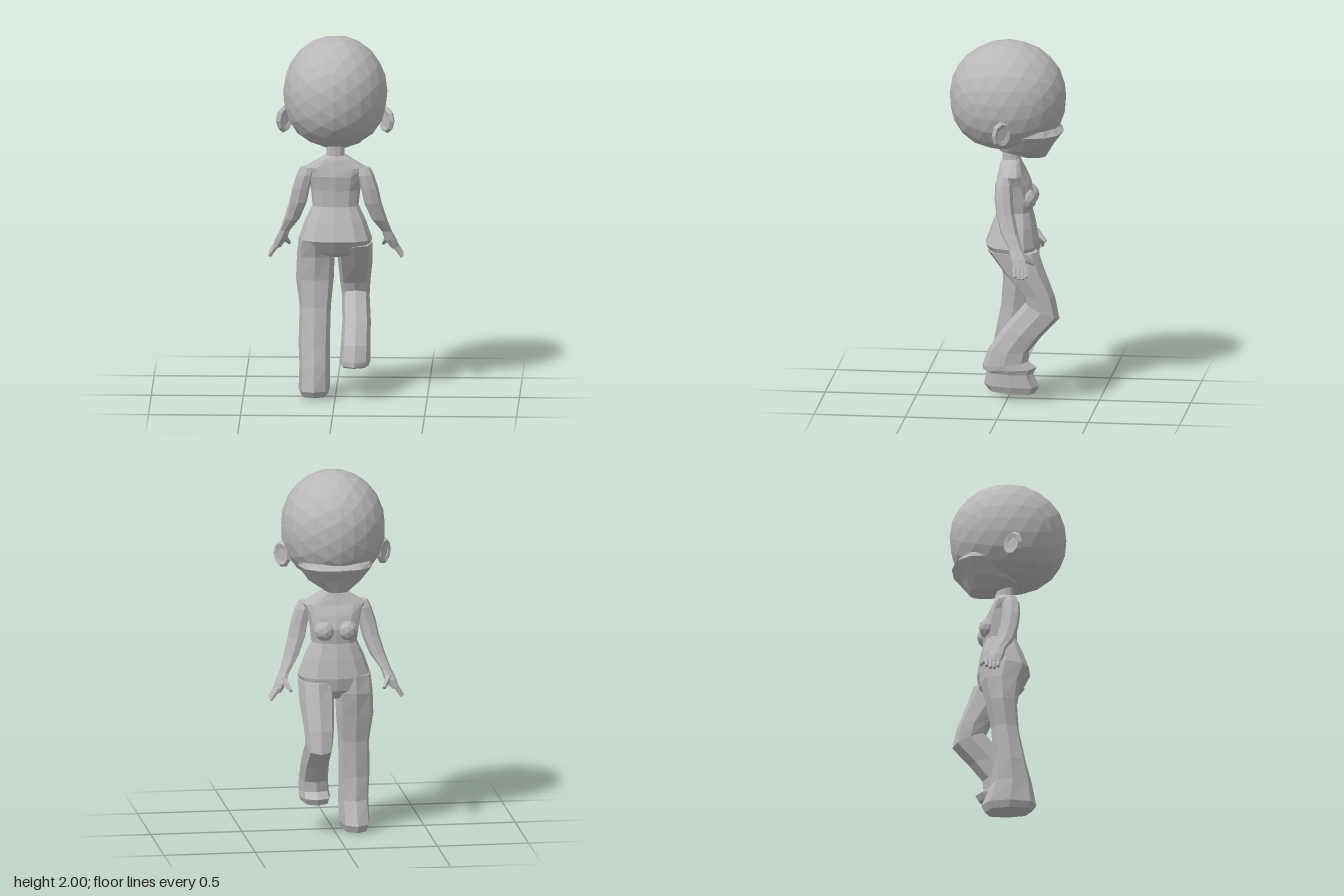
import * as THREE from 'three';

const grey = new THREE.MeshStandardMaterial({ color: 0xb8b8b8, flatShading: true });
grey.name = 'plain grey';

function part(name, geometry, parent) {
  const mesh = new THREE.Mesh(geometry, grey);
  mesh.name = name;
  parent.add(mesh);
  return mesh;
}

// Closed loft, bottom ring first. Ring: [xMin, xMax, zFront, yFront, zBack, yBack]
function loft(rings, sides = 8) {
  const pos = [], idx = [];
  const shape = (v) => Math.sign(v) * Math.pow(Math.abs(v), 0.8);
  for (const [x0, x1, zf, yf, zb, yb] of rings) {
    for (let i = 0; i < sides; i++) {
      const a = (i / sides) * Math.PI * 2;
      const c = shape(Math.cos(a)), s = shape(Math.sin(a));
      pos.push((x0 + x1) / 2 + (c * (x1 - x0)) / 2,
        (yf + yb) / 2 + (s * (yb - yf)) / 2,
        (zf + zb) / 2 + (s * (zb - zf)) / 2);
    }
  }
  for (let r = 0; r < rings.length - 1; r++) {
    for (let i = 0; i < sides; i++) {
      const j = (i + 1) % sides, a = r * sides, b = a + sides;
      idx.push(a + i, b + i, a + j, a + j, b + i, b + j);
    }
  }
  const top = (rings.length - 1) * sides;
  for (let i = 1; i < sides - 1; i++) {
    idx.push(0, i, i + 1, top, top + i + 1, top + i);
  }
  const g = new THREE.BufferGeometry();
  g.setAttribute('position', new THREE.Float32BufferAttribute(pos, 3));
  g.setIndex(idx);
  g.computeVertexNormals();
  return g;
}

// Tapered rod between two points, for fingers
function rod(a, b, r0, r1) {
  const p = new THREE.Vector3(...a), q = new THREE.Vector3(...b);
  const d = q.clone().sub(p);
  const g = new THREE.CylinderGeometry(r1, r0, d.length(), 5);
  g.applyQuaternion(new THREE.Quaternion().setFromUnitVectors(
    new THREE.Vector3(0, 1, 0), d.clone().normalize()));
  g.translate(...p.add(q).multiplyScalar(0.5).toArray());
  return g;
}

// Faceted skull: rounder above, fuller below
function skull() {
  const g = new THREE.IcosahedronGeometry(1, 3);
  const p = g.attributes.position, k = 2.4;
  for (let i = 0; i < p.count; i++) {
    const x = p.getX(i), y = p.getY(i), z = p.getZ(i);
    const s = y < 0 ? Math.pow(Math.hypot(x, z) ** k + Math.abs(y) ** k, -1 / k) : 1;
    p.setXYZ(i, x * s * 0.283, 1.7 + y * s * 0.3, z * s * 0.318);
  }
  g.computeVertexNormals();
  return g;
}

export function createModel() {
  const model = new THREE.Group();
  model.name = 'figure';

  // Head and the lower face that juts out under the brow
  const head = new THREE.Group();
  head.name = 'head';
  model.add(head);
  part('skull', skull(), head);
  part('lowerFace', loft([
    [-0.06, 0.06, -0.21, 1.362, -0.08, 1.358],
    [-0.14, 0.15, -0.25, 1.43, 0.05, 1.40],
    [-0.20, 0.21, -0.306, 1.505, 0.08, 1.50],
    [-0.19, 0.20, -0.27, 1.535, 0.0, 1.53],
  ], 12), head);

  // Trunk from crotch to neck
  part('torso', loft([
    [-0.09, 0.09, -0.11, 0.75, 0.03, 0.78],
    [-0.17, 0.17, -0.155, 0.80, 0.075, 0.81],
    [-0.20, 0.20, -0.17, 0.87, 0.12, 0.88],
    [-0.165, 0.165, -0.155, 0.97, 0.085, 0.98],
    [-0.125, 0.125, -0.135, 1.06, 0.05, 1.06],
    [-0.135, 0.135, -0.145, 1.14, 0.05, 1.15],
    [-0.15, 0.15, -0.125, 1.21, 0.06, 1.23],
    [-0.175, 0.175, -0.095, 1.265, 0.05, 1.275],
    [-0.10, 0.10, -0.08, 1.31, 0.04, 1.32],
    [-0.05, 0.05, -0.07, 1.345, 0.03, 1.34],
    [-0.048, 0.048, -0.065, 1.43, 0.03, 1.43],
  ], 12), model);

  // Mirrored parts
  for (const s of [1, -1]) {
    const side = s > 0 ? 'left' : 'right';

    const chest = part(side + 'Chest', new THREE.IcosahedronGeometry(0.06, 1), model);
    chest.position.set(s * 0.06, 1.13, -0.105);

    // Ear: folded rim around a thin bowl
    const ear = new THREE.Group();
    ear.name = side + 'Ear';
    ear.position.set(s * 0.277, 1.54, 0.003);
    ear.rotation.y = s > 0 ? -0.86 : 0.86 - Math.PI;
    ear.scale.y = 1.2;
    part('earRim', new THREE.TorusGeometry(0.045, 0.017, 5, 9), ear);
    part('earBowl', new THREE.CylinderGeometry(0.045, 0.045, 0.012, 9).rotateX(Math.PI / 2), ear);
    head.add(ear);

    // Arm with fingers and thumb
    const arm = new THREE.Group();
    arm.name = side + 'Arm';
    model.add(arm);
    const rings = [
      [0.30, 0.345, -0.15, 0.80, -0.065, 0.81],
      [0.265, 0.33, -0.145, 0.85, -0.045, 0.86],
      [0.25, 0.305, -0.115, 0.90, -0.035, 0.91],
      [0.195, 0.28, -0.085, 0.98, 0.01, 0.98],
      [0.155, 0.25, -0.06, 1.08, 0.04, 1.08],
      [0.14, 0.235, -0.05, 1.15, 0.05, 1.16],
      [0.12, 0.21, -0.045, 1.235, 0.05, 1.235],
      [0.12, 0.19, -0.03, 1.275, 0.035, 1.275],
    ].map(([a, b, ...rest]) => (s > 0 ? [a, b, ...rest] : [-b, -a, ...rest]));
    part(side + 'Sleeve', loft(rings), arm);
    for (let i = 0; i < 4; i++) {
      const z = -0.078 - i * 0.021, drop = i % 3 ? 0.755 : 0.765;
      part('finger', rod([s * 0.318, 0.825, z], [s * 0.36, drop, z - 0.005], 0.016, 0.01), arm);
    }
    part('thumb', rod([s * 0.29, 0.865, -0.115], [s * 0.255, 0.815, -0.175], 0.022, 0.01), arm);
  }

  // Straight leg that carries the weight
  part('rightLeg', loft([
    [-0.185, -0.045, -0.135, 0, 0.12, 0.015],
    [-0.20, -0.03, -0.155, 0.04, 0.145, 0.05],
    [-0.195, -0.03, -0.10, 0.17, 0.122, 0.18],
    [-0.20, -0.03, -0.09, 0.30, 0.09, 0.30],
    [-0.195, -0.025, -0.10, 0.50, 0.05, 0.50],
    [-0.215, -0.01, -0.13, 0.65, 0.04, 0.65],
    [-0.21, -0.005, -0.16, 0.78, 0.06, 0.78],
    [-0.20, -0.005, -0.16, 0.88, 0.10, 0.88],
  ]), model);

  // Bent leg lifted in mid stride
  part('leftLeg', loft([
    [0.03, 0.18, -0.15, 0.165, 0.10, 0.175],
    [0.02, 0.19, -0.17, 0.20, 0.125, 0.185],
    [0.025, 0.19, -0.125, 0.235, 0.125, 0.21],
    [0.03, 0.19, -0.13, 0.29, 0.095, 0.30],
    [0.035, 0.19, -0.20, 0.38, 0.01, 0.42],
    [0.03, 0.18, -0.295, 0.48, -0.11, 0.565],
    [0.02, 0.185, -0.27, 0.60, -0.09, 0.61],
    [0.01, 0.20, -0.21, 0.76, 0.01, 0.73],
    [0.005, 0.20, -0.18, 0.85, 0.10, 0.85],
  ]), model);

  return model;
}
